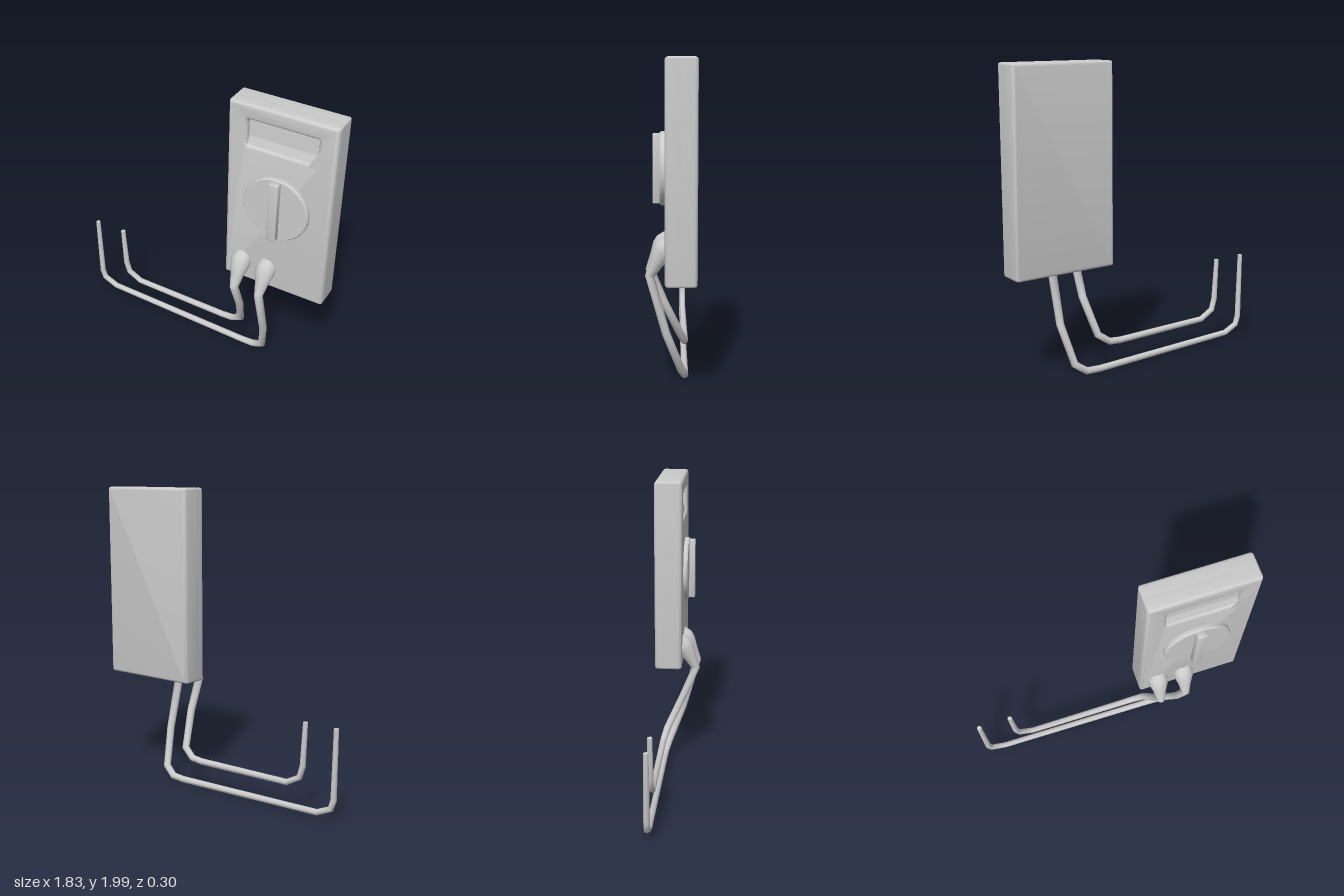
import * as THREE from 'three';
import { toCreasedNormals } from 'three/addons/utils/BufferGeometryUtils.js';

const material = new THREE.MeshStandardMaterial({ color: 0xcccccc });

function add(parent, name, geometry, x = 0, y = 0, z = 0) {
  const mesh = new THREE.Mesh(geometry, material);
  mesh.name = name;
  mesh.position.set(x, y, z);
  parent.add(mesh);
  return mesh;
}

// Rectangle with slightly rounded corners
function roundedRect(path, x0, y0, x1, y1, r) {
  path.moveTo(x0 + r, y0);
  path.lineTo(x1 - r, y0);
  path.quadraticCurveTo(x1, y0, x1, y0 + r);
  path.lineTo(x1, y1 - r);
  path.quadraticCurveTo(x1, y1, x1 - r, y1);
  path.lineTo(x0 + r, y1);
  path.quadraticCurveTo(x0, y1, x0, y1 - r);
  path.lineTo(x0, y0 + r);
  path.quadraticCurveTo(x0, y0, x0 + r, y0);
  return path;
}

// Slab between two depths, with softened edges
function slab(shape, z0, z1, bevel) {
  const geometry = new THREE.ExtrudeGeometry(shape, {
    depth: z1 - z0 - 2 * bevel, bevelEnabled: true, bevelThickness: bevel,
    bevelSize: bevel, bevelOffset: -bevel, bevelSegments: 4, curveSegments: 4,
  });
  geometry.translate(0, 0, z0 + bevel);
  return toCreasedNormals(geometry, 0.7);
}

// Round tube through [x, y, z, radius] points, with closed ends
function taperedTube(stations, sides = 10) {
  const points = stations.map(([x, y, z]) => new THREE.Vector3(x, y, z));
  const last = points.length - 1;
  const positions = [], index = [];
  const side = new THREE.Vector3(1, 0, 0);
  let previous = null;
  points.forEach((p, i) => {
    const before = p.clone().sub(points[Math.max(i - 1, 0)]).normalize();
    const after = points[Math.min(i + 1, last)].clone().sub(p).normalize();
    const tangent = before.add(after).normalize();
    if (previous) side.applyQuaternion(new THREE.Quaternion().setFromUnitVectors(previous, tangent));
    side.addScaledVector(tangent, -side.dot(tangent)).normalize();
    const up = tangent.clone().cross(side);
    for (let k = 0; k < sides; k++) {
      const a = (k / sides) * Math.PI * 2;
      const v = p.clone()
        .addScaledVector(side, Math.cos(a) * stations[i][3])
        .addScaledVector(up, Math.sin(a) * stations[i][3]);
      positions.push(v.x, v.y, v.z);
      if (i < last) {
        const a0 = i * sides + k, b0 = i * sides + (k + 1) % sides;
        index.push(a0, b0, b0 + sides, a0, b0 + sides, a0 + sides);
      }
    }
    previous = tangent;
  });
  for (let k = 1; k < sides - 1; k++) {
    index.push(0, k + 1, k);
    index.push(last * sides, last * sides + k, last * sides + k + 1);
  }
  const geometry = new THREE.BufferGeometry();
  geometry.setAttribute('position', new THREE.Float32BufferAttribute(positions, 3));
  geometry.setIndex(index);
  return toCreasedNormals(geometry, 1.0);
}

export function createModel() {
  const model = new THREE.Group();
  model.name = 'meter';

  // Case: the front shell has a window, the back shell forms its floor
  const body = new THREE.Group();
  body.name = 'body';
  model.add(body);
  const outline = () => roundedRect(new THREE.Shape(), 0.22, 0.72, 0.91, 2, 0.015);
  const front = outline();
  front.holes.push(roundedRect(new THREE.Path(), 0.345, 1.73, 0.795, 1.9, 0.015));
  add(body, 'frontShell', slab(front, -0.08, 0.035, 0.022));
  add(body, 'backShell', slab(outline(), -0.15, 0.003, 0.022));

  // Sloping lower edge of the screen recess
  const ramp = new THREE.Shape([
    new THREE.Vector2(0, 1.71), new THREE.Vector2(0.026, 1.71), new THREE.Vector2(0, 1.79),
  ]);
  const rampGeometry = new THREE.ExtrudeGeometry(ramp, { depth: 0.46, bevelEnabled: false });
  rampGeometry.rotateY(-Math.PI / 2);
  rampGeometry.translate(0.8, 0, 0);
  add(body, 'screenSlope', rampGeometry);

  // Dial with its grip
  const dial = new THREE.Group();
  dial.name = 'dial';
  dial.position.set(0.565, 1.355, 0);
  model.add(dial);
  const disc = new THREE.LatheGeometry([
    new THREE.Vector2(0.217, 0.02), new THREE.Vector2(0.217, 0.055),
    new THREE.Vector2(0.21, 0.064), new THREE.Vector2(0, 0.066),
  ], 28);
  disc.rotateX(Math.PI / 2);
  add(dial, 'dialDisc', toCreasedNormals(disc, 0.6));
  const grip = roundedRect(new THREE.Shape(), -0.031, -0.205, 0.031, 0.205, 0.01);
  add(dial, 'dialGrip', slab(grip, 0.05, 0.106, 0.007));

  // Plugs flare out of the case, then thin leads run down and across
  const leads = {
    innerLead: [
      [0.34, 0.49, 0.04, 0.026], [0.297, 0.255, -0.07, 0.025],
      [0.22, 0.2, -0.09, 0.023], [0.14, 0.192, -0.092, 0.022],
      [-0.55, 0.2, -0.092, 0.02], [-0.645, 0.252, -0.092, 0.02],
      [-0.667, 0.33, -0.092, 0.02], [-0.682, 0.61, -0.092, 0.016],
    ],
    outerLead: [
      [0.518, 0.34, 0.028, 0.026], [0.472, 0.09, -0.067, 0.025],
      [0.395, 0.036, -0.088, 0.024], [0.3, 0.03, -0.09, 0.022],
      [-0.775, 0.055, -0.092, 0.02], [-0.873, 0.1, -0.092, 0.02],
      [-0.892, 0.16, -0.092, 0.02], [-0.9, 0.61, -0.092, 0.016],
    ],
  };
  for (const [name, path] of Object.entries(leads)) {
    const x = path[0][0];
    const lead = new THREE.Group();
    lead.name = name;
    model.add(lead);
    add(lead, 'plug', taperedTube([
      [x, 0.9, 0.0, 0.055], [x, 0.87, 0.03, 0.068], [x, 0.84, 0.05, 0.066],
      [x, 0.78, 0.085, 0.045], [x, 0.7, 0.126, 0.028],
    ], 12));
    add(lead, 'cable', taperedTube([
      [x, 0.76, 0.096, 0.025], [x, 0.7, 0.126, 0.029], ...path,
    ]));
  }
  return model;
}
